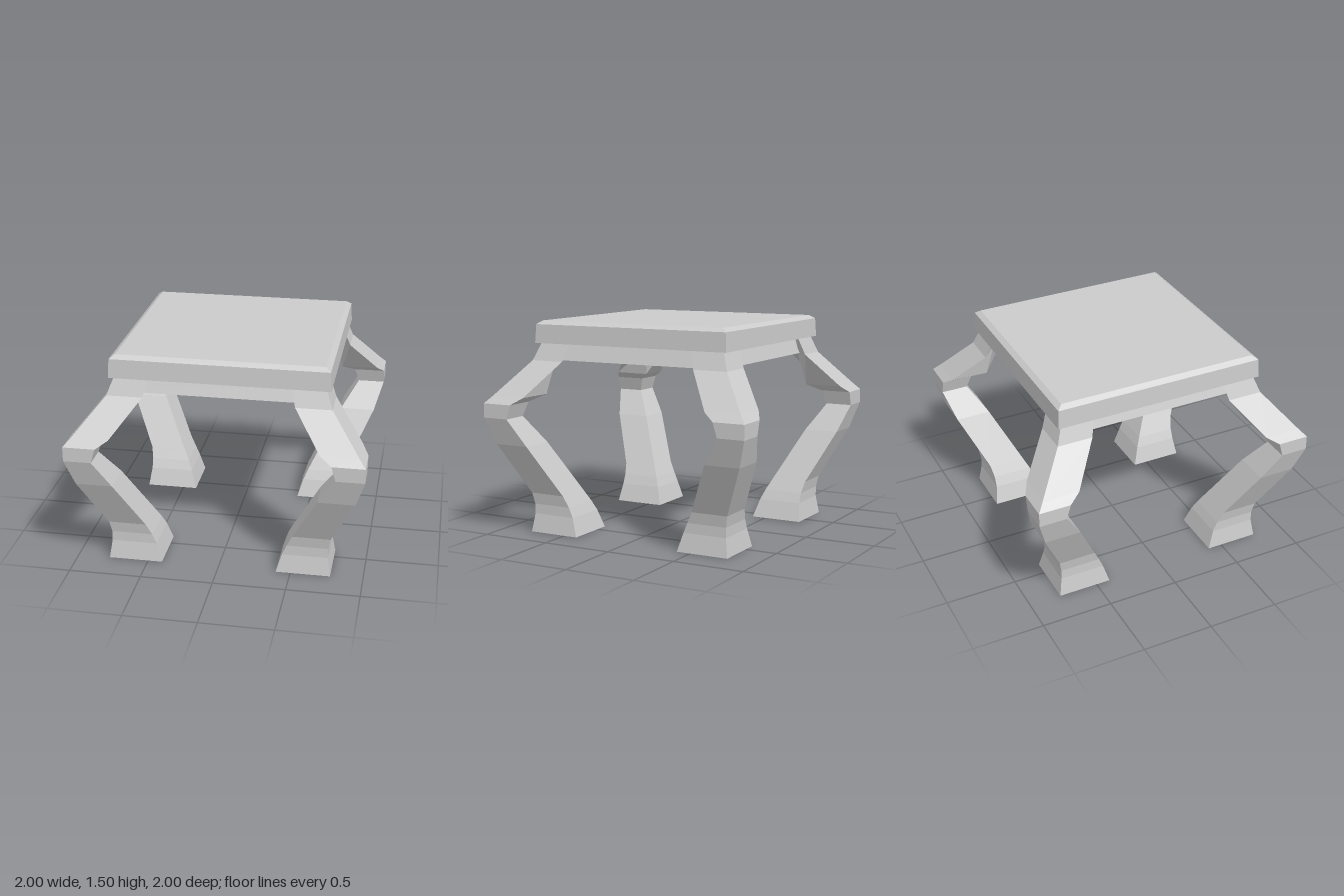
import * as THREE from 'three';

const material = new THREE.MeshStandardMaterial({ color: 0xcccccc, flatShading: true, side: THREE.DoubleSide });

// Square loft: each section is [y, outer, inner], spanning inner..outer in x and z.
// An optional fourth value moves the innermost corner along the diagonal.
function squareLoft(sections, capTop) {
  const pos = [];
  const quad = (a, b, c, d) => pos.push(...a, ...b, ...c, ...a, ...c, ...d);
  const rings = sections.map(([y, o, i, c = i]) => [[o, y, o], [o, y, i], [c, y, c], [i, y, o]]);
  for (let s = 0; s < rings.length - 1; s++) {
    for (let k = 0; k < 4; k++) {
      const n = (k + 1) % 4;
      quad(rings[s][k], rings[s][n], rings[s + 1][n], rings[s + 1][k]);
    }
  }
  if (capTop) quad(...rings[rings.length - 1]);
  const geometry = new THREE.BufferGeometry();
  geometry.setAttribute('position', new THREE.Float32BufferAttribute(pos, 3));
  geometry.computeVertexNormals();
  return geometry;
}

export function createModel() {
  const group = new THREE.Group();
  const add = (name, geometry) => {
    const mesh = new THREE.Mesh(geometry, material);
    mesh.name = name;
    group.add(mesh);
    return mesh;
  };
  const centred = (profile) => profile.map(([y, h]) => [y, h, -h]);

  // Hollow table top: soffit lip, slightly tapered sides and a chamfered rim
  add('tableTop', squareLoft(centred([[1.34, 0.63], [1.34, 0.742], [1.47, 0.735], [1.495, 0.70]]), true));

  // Thin apron flaring out below the top
  add('apron', squareLoft(centred([[1.22, 0.67], [1.34, 0.63]]), false));

  // Bent legs, hollow at the foot, bowing out diagonally at the knee;
  // the last sections wrap round the apron corner
  const leg = squareLoft([
    [0, 0.775, 0.40], [0.13, 0.755, 0.44], [0.20, 0.755, 0.47], [0.28, 0.77, 0.51],
    [0.64, 0.94, 0.69], [0.83, 1.0, 0.81], [0.93, 1.0, 0.78], [0.98, 0.955, 0.70, 0.69],
    [1.22, 0.755, 0.51, 0.64], [1.34, 0.71, 0.48, 0.62],
  ], false);
  ['frontLeftLeg', 'backLeftLeg', 'backRightLeg', 'frontRightLeg'].forEach((name, k) => {
    add(name, leg).rotation.y = k * Math.PI / 2;
  });

  return group;
}
